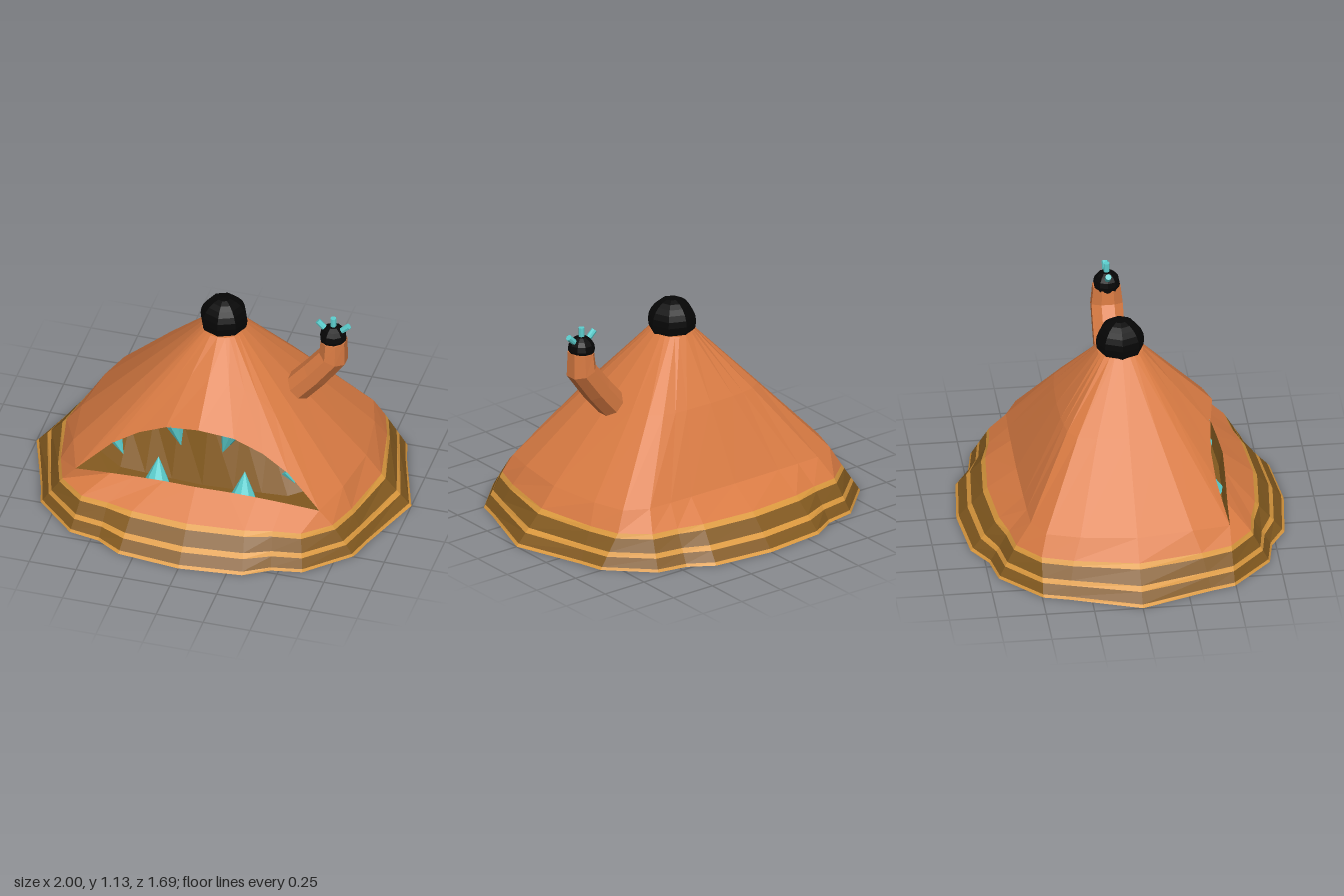
import * as THREE from 'three';

const ORANGE = 0xd97b43, BROWN = 0x82591f, GOLD = 0xdd9a3e, BLACK = 0x060606, TEAL = 0x5ccfcf;
const N = 24;
const V = (x, y, z) => new THREE.Vector3(x, y, z);

function mesh(name, geometry, color) {
  const m = new THREE.Mesh(geometry, new THREE.MeshStandardMaterial({
    color, flatShading: true, side: THREE.DoubleSide }));
  m.name = name;
  return m;
}

// Skin rows of points with equal counts, closed into loops or left open; optionally cap the last row.
function loft(rows, { closed = true, cap = false } = {}) {
  const n = rows[0].length, pos = [];
  const tri = (...pts) => pts.forEach(p => pos.push(p.x, p.y, p.z));
  for (let r = 0; r < rows.length - 1; r++) {
    const a = rows[r], b = rows[r + 1];
    for (let i = 0; i < (closed ? n : n - 1); i++) {
      const j = (i + 1) % n;
      tri(a[j], a[i], b[i]);
      tri(a[j], b[i], b[j]);
    }
  }
  if (cap) {
    const last = rows[rows.length - 1];
    const mid = last.reduce((s, p) => s.add(p), V(0, 0, 0)).divideScalar(n);
    for (let i = 0; i < n; i++) tri(last[(i + 1) % n], last[i], mid);
  }
  const g = new THREE.BufferGeometry();
  g.setAttribute('position', new THREE.Float32BufferAttribute(pos, 3));
  g.computeVertexNormals();
  return g;
}

// Mirror a quarter outline of seven [x, z] points into a full ring.
function ring(quarter, y) {
  return Array.from({ length: N }, (_, i) => {
    const k = i % 12, [x, z] = quarter[k <= 6 ? k : 12 - k];
    return V(x * (i <= 6 || i >= 18 ? 1 : -1), y, z * (i <= 12 ? 1 : -1));
  });
}

// Replace the front columns of a ring by a mirrored half lip, corner to centre.
function withLip(base, lip) {
  const out = base.map(p => p.clone());
  lip.forEach(([x, y, z], k) => {
    out[2 + k] = V(x, y, z);
    out[10 - k] = V(-x, y, z);
  });
  return out;
}

// Cone or rod running from one point to another.
function spike(name, from, to, r0, r1, sides) {
  const d = to.clone().sub(from);
  const m = mesh(name, new THREE.CylinderGeometry(r1, r0, d.length(), sides), TEAL);
  m.position.copy(from).addScaledVector(d, 0.5);
  m.quaternion.setFromUnitVectors(V(0, 1, 0), d.normalize());
  return m;
}

export function createModel() {
  const model = new THREE.Group();
  model.name = 'tentCreature';

  // Striped hem
  const base = ring([[1, 0], [0.87, 0.37], [0.835, 0.495], [0.62, 0.7], [0.46, 0.73], [0.33, 0.81], [0, 0.845]], 0);
  const hemTop = ring([[0.84, 0], [0.775, 0.33], [0.72, 0.49], [0.585, 0.605], [0.44, 0.625], [0.3, 0.66], [0, 0.685]], 0.172);
  const level = y => base.map((p, i) => p.clone().lerp(hemTop[i], y / 0.172));
  const stripes = [[0, 0.014, GOLD], [0.014, 0.062, BROWN], [0.062, 0.085, GOLD], [0.085, 0.148, BROWN], [0.148, 0.172, GOLD]];
  stripes.forEach(([lo, hi, color], i) =>
    model.add(mesh('hemStripe' + (i + 1), loft([level(lo), level(hi)]), color)));

  // Body in two parts that meet at the mouth corners
  const waist = ring([[0.76, 0], [0.72, 0.29], [0.665, 0.46], [0.54, 0.525], [0.41, 0.53], [0.28, 0.532], [0, 0.535]], 0.275);
  const corner = [0.65, 0.25, 0.49];
  const lower = withLip(waist, [corner, [0.46, 0.268, 0.5], [0.32, 0.281, 0.51], [0.17, 0.291, 0.52], [0, 0.295, 0.53]]);
  const upper = withLip(waist, [corner, [0.47, 0.415, 0.44], [0.33, 0.505, 0.43], [0.18, 0.58, 0.445], [0, 0.618, 0.475]]);
  const neck = ring([[0.108, 0], [0.104, 0.04], [0.095, 0.065], [0.08, 0.09], [0.06, 0.105], [0.04, 0.115], [0, 0.12]], 0.96);
  // Slight swell on the back
  const chest = upper.map((p, i) => {
    const q = p.clone().lerp(neck[i], 0.55);
    if (q.z < -0.01) q.z *= 1.07;
    return q;
  });
  model.add(mesh('lowerBody', loft([hemTop, lower]), ORANGE));
  model.add(mesh('upperBody', loft([upper, chest, neck], { cap: true }), ORANGE));

  // Mouth pocket: roof, slanting back wall and a floor sunk behind the lower lip
  const upperLip = upper.slice(2, 11), lowerLip = lower.slice(2, 11);
  const roofBack = upperLip.map(p => V(p.x * 0.92, 0.25 + (p.y - 0.25) * 0.9, p.z - 0.2));
  const floorBack = lowerLip.map((p, i) =>
    i === 0 || i === 8 ? roofBack[i].clone() : V(p.x * 0.97, 0.215, p.z - 0.13));
  const floorFront = lowerLip.map((p, i) =>
    i === 0 || i === 8 ? p.clone() : V(p.x, 0.215, p.z - 0.02));
  model.add(mesh('mouthPocket', loft([upperLip, roofBack, floorBack, floorFront, lowerLip], { closed: false }), BROWN));

  // Teeth
  for (const s of [-1, 1]) {
    model.add(spike('upperTooth', V(s * 0.15, 0.585, 0.39), V(s * 0.11, 0.45, 0.41), 0.056, 0, 8));
    model.add(spike('lowerTooth', V(s * 0.23, 0.21, 0.44), V(s * 0.23, 0.357, 0.41), 0.07, 0, 8));
  }
  model.add(spike('rightSideTooth', V(-0.465, 0.405, 0.38), V(-0.42, 0.322, 0.4), 0.036, 0, 8));
  model.add(spike('leftSideTooth', V(0.45, 0.385, 0.38), V(0.495, 0.327, 0.4), 0.036, 0, 8));

  // Ball on the peak
  const ball = mesh('topBall', new THREE.SphereGeometry(0.125, 8, 12), BLACK);
  ball.position.y = 1.005;
  model.add(ball);

  // Bent arm: [x, y, tilt of the section, radius]
  const arm = [[0.36, 0.6, -0.75, 0.078], [0.4, 0.65, -0.75, 0.078], [0.49, 0.755, -0.7, 0.078], [0.585, 0.88, -0.35, 0.078], [0.587, 0.985, 0.05, 0.068]]
    .map(([x, y, tilt, r]) => Array.from({ length: 8 }, (_, i) => {
      const a = (i + 0.5) * Math.PI / 4, c = r * Math.cos(a);
      return V(x + c * Math.cos(tilt), y + c * Math.sin(tilt), r * 1.12 * Math.sin(a));
    }));
  model.add(mesh('arm', loft(arm, { cap: true }), ORANGE));

  // Hand with three fingers
  const hand = mesh('hand', new THREE.SphereGeometry(0.07, 10, 8), BLACK);
  hand.position.set(0.583, 1.002, 0);
  model.add(hand);
  for (const a of [-0.8, 0, 0.8]) {
    const dir = V(Math.sin(a), Math.cos(a), 0);
    model.add(spike('finger', hand.position.clone().addScaledVector(dir, 0.04),
      hand.position.clone().addScaledVector(dir, 0.115), 0.016, 0.016, 8));
  }
  return model;
}
